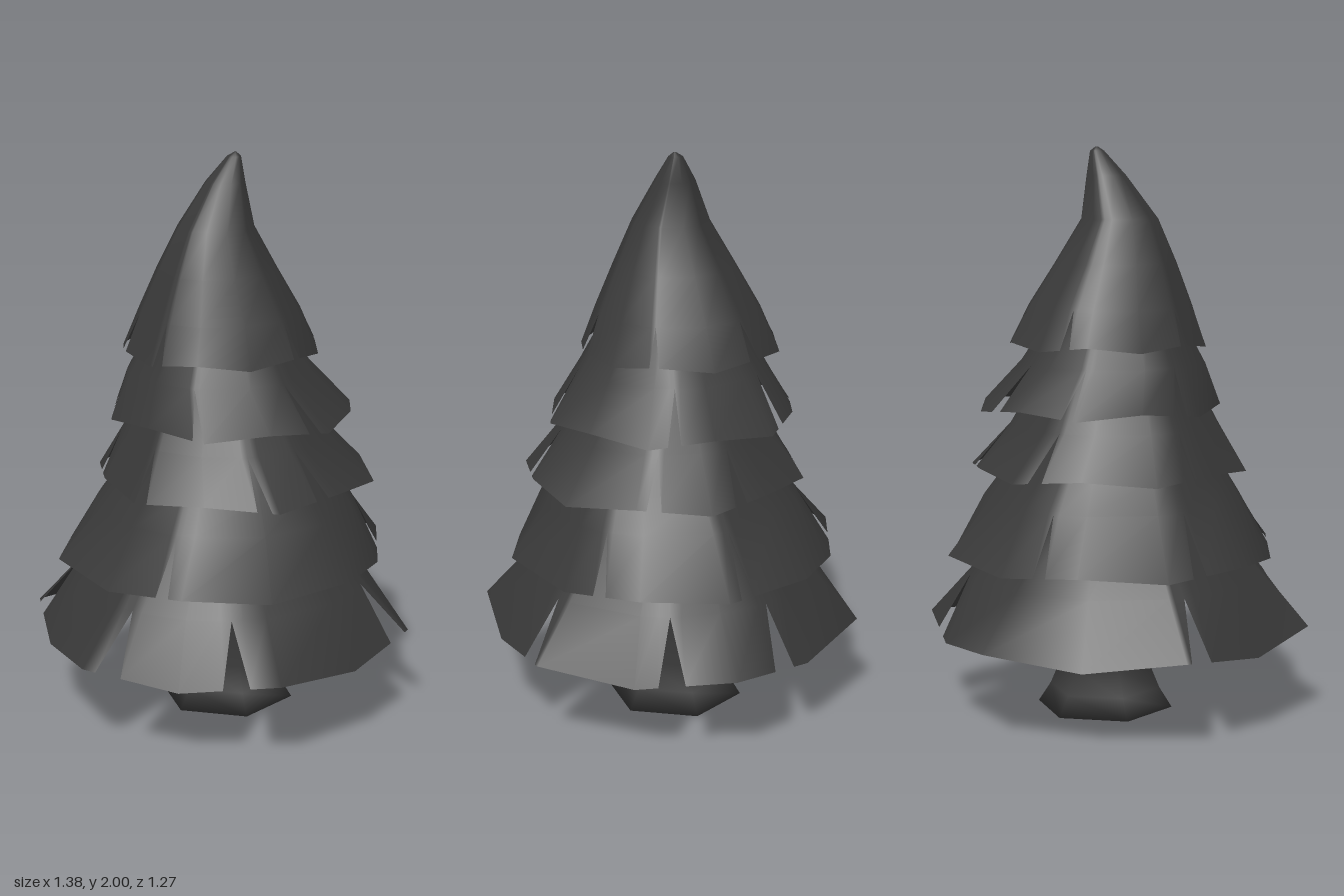
import * as THREE from 'three';

const material = new THREE.MeshStandardMaterial({ color: 0x383838, side: THREE.DoubleSide });
const rad = THREE.MathUtils.degToRad;
const wrap = (a) => ((a % 360) + 360) % 360;

// Twelve-cornered rim whose corners alternate in radius and height
function rimCorner({ y, r, cx, cz, rWave, yWave }, k) {
  const a = rad(k * 30), sign = k % 2 ? -1 : 1;
  const radius = r + sign * rWave;
  return new THREE.Vector3(cx + Math.sin(a) * radius, y + sign * yWave, cz + Math.cos(a) * radius);
}

// Point on the straight rim edge between two corners
function rimPoint(rim, angle) {
  const k = Math.floor(angle / 30);
  return rimCorner(rim, k).lerp(rimCorner(rim, k + 1), angle / 30 - k);
}

// Skirt of branches: V-shaped cuts reach from the rim to the first ring.
// Rings are [y, radius, centre x, centre z]; notches are angles from the front towards +x.
function makeTier(name, rim, notches, gap, rings) {
  const columns = [];
  for (let a = 0; a < 360; a += 30) {
    const clear = notches.every((n) => Math.abs(wrap(a - n + 180) - 180) > gap + 1);
    if (clear) columns.push({ a, notch: false });
  }
  for (const n of notches) {
    for (const s of [-1, 0, 1]) columns.push({ a: wrap(n + s * gap), notch: s === 0 });
  }
  columns.sort((p, q) => p.a - q.a);

  const positions = [], index = [], count = columns.length;
  for (const { a } of columns) positions.push(...rimPoint(rim, a).toArray());
  for (const [y, r, cx = 0, cz = 0] of rings) {
    for (const { a } of columns) {
      positions.push(cx + Math.sin(rad(a)) * r, y, cz + Math.cos(rad(a)) * r);
    }
  }
  for (let row = 0; row < rings.length; row++) {
    for (let i = 0; i < count; i++) {
      const j = (i + 1) % count;
      const bl = row * count + i, br = row * count + j;
      const tl = bl + count, tr = br + count;
      if (row === 0 && columns[j].notch) index.push(bl, tr, tl);
      else if (row === 0 && columns[i].notch) index.push(br, tr, tl);
      else index.push(bl, br, tr, bl, tr, tl);
    }
  }
  const geometry = new THREE.BufferGeometry();
  geometry.setAttribute('position', new THREE.Float32BufferAttribute(positions, 3));
  geometry.setIndex(index);
  geometry.computeVertexNormals();
  const mesh = new THREE.Mesh(geometry, material);
  mesh.name = name;
  return mesh;
}

// Six-sided trunk with a flared foot, shaded smoothly into its underside
function makeTrunk() {
  const profile = [[0, 0], [0.245, 0], [0.2, 0.07], [0.162, 0.16], [0.157, 0.3], [0.12, 0.9]]
    .map(([r, y]) => new THREE.Vector2(r, y));
  const trunk = new THREE.Mesh(new THREE.LatheGeometry(profile, 6, Math.PI / 2), material);
  trunk.name = 'trunk';
  trunk.position.set(0.015, 0, -0.04);
  return trunk;
}

export function createModel() {
  const model = new THREE.Group();
  model.name = 'firTree';
  model.add(
    makeTrunk(),
    makeTier('bottomBoughs',
      { y: 0.298, r: 0.662, cx: 0, cz: 0, rWave: -0.028, yWave: -0.02 },
      [-22, 17, 84, 131, 170, -84], 4, [[0.5, 0.525], [0.82, 0.26]]),
    makeTier('lowerBoughs',
      { y: 0.575, r: 0.587, cx: 0, cz: -0.02, rWave: 0.015, yWave: 0.015 },
      [-8, 104, 157, -135, -78], 2.5, [[0.77, 0.46, 0.015, -0.01], [0.88, 0.385, 0.02], [1.08, 0.25]]),
    makeTier('middleBoughs',
      { y: 0.873, r: 0.49, cx: 0.05, cz: -0.015, rWave: -0.012, yWave: 0.01 },
      [24, 52, 127, 165, -140, -73, -28], 3, [[1.03, 0.37, 0.02], [1.3, 0.22]]),
    makeTier('upperBoughs',
      { y: 1.095, r: 0.435, cx: 0.035, cz: -0.045, rWave: 0.01, yWave: -0.01 },
      [-3, 53, 132, -168, -125, -70], 3, [[1.25, 0.33, 0, -0.015], [1.48, 0.19]]),
    // Crown with a curled tip
    makeTier('crown',
      { y: 1.318, r: 0.352, cx: -0.01, cz: -0.04, rWave: 0, yWave: 0.01 },
      [-25, 62, 116, 177, -134, -60], 3,
      [[1.45, 0.29, -0.01, -0.03], [1.6, 0.214, -0.015, -0.01], [1.75, 0.136, -0.015, 0.005],
        [1.9, 0.07, 0.01, -0.035], [1.985, 0.025, 0.035, -0.06], [2, 0.004, 0.04, -0.06]]),
  );
  return model;
}
